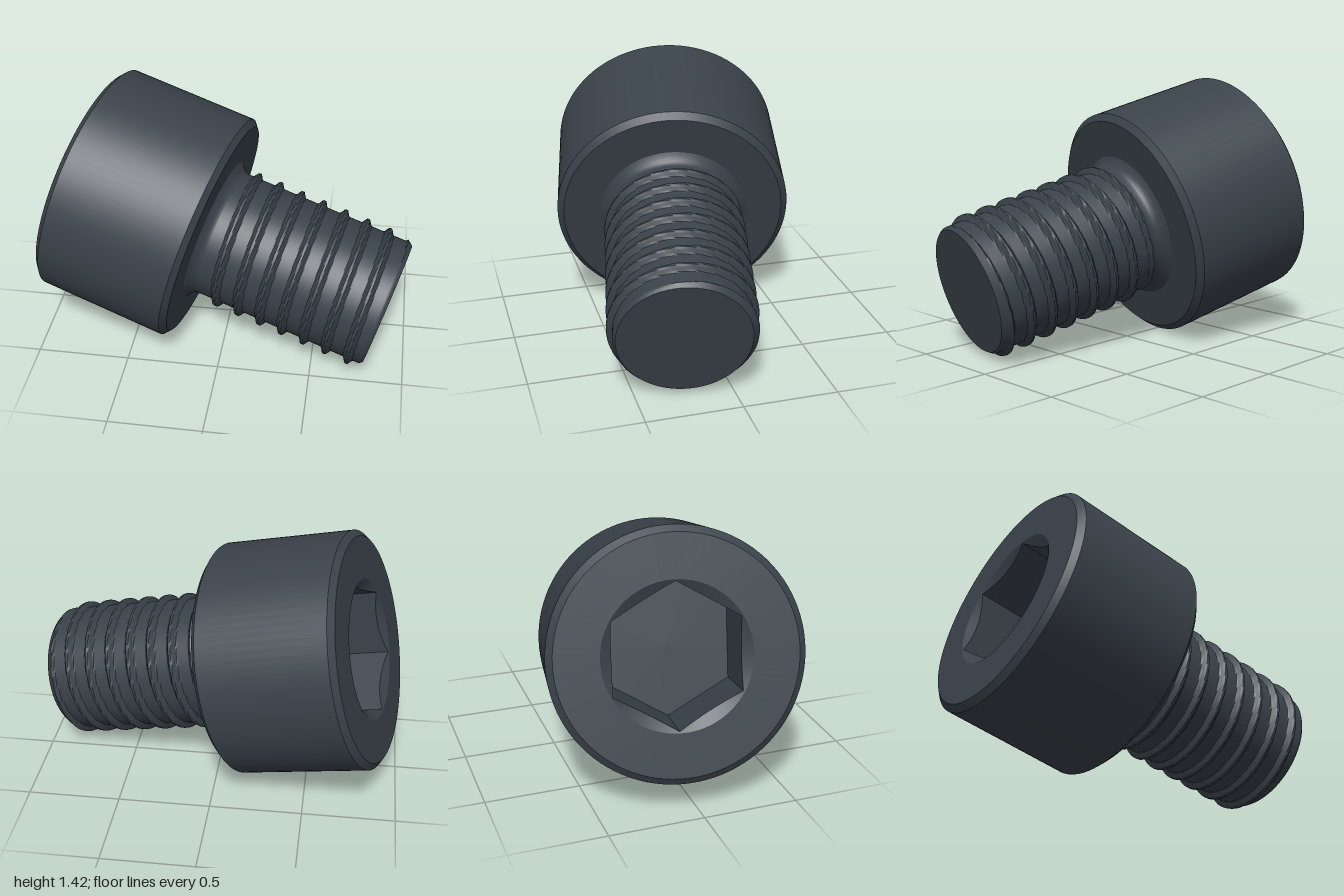
import * as THREE from 'three';
import { toCreasedNormals } from 'three/addons/utils/BufferGeometryUtils.js';

const HEAD_R = 0.64, HEAD_H = 0.768, CHAMFER_R = 0.605, CHAMFER_H = 0.03;
const SHANK_L = 1.024, PITCH = 0.128, CREST = 0.382, ROOT = 0.308, TIP_R = 0.338;
const SOCKET_R = 0.377, SOCKET_AP = 0.32, SOCKET_D = 0.38;
const SIDES = 96;
const { clamp, lerp, smoothstep } = THREE.MathUtils;

// Surface along the x axis from rings; ring(i, angle) gives [x, radius].
function loft(count, ring, inward = false) {
  const pos = [], index = [];
  for (let i = 0; i < count; i++) {
    for (let j = 0; j <= SIDES; j++) {
      const a = (j % SIDES) / SIDES * Math.PI * 2;
      const [x, r] = ring(i, a);
      pos.push(x, r * Math.cos(a), r * Math.sin(a));
      if (i === count - 1 || j === SIDES) continue;
      const p = i * (SIDES + 1) + j, q = p + 1, s = p + SIDES + 1, t = s + 1;
      if (inward) index.push(p, s, q, q, s, t);
      else index.push(p, q, s, q, t, s);
    }
  }
  const geo = new THREE.BufferGeometry();
  geo.setAttribute('position', new THREE.Float32BufferAttribute(pos, 3));
  geo.setIndex(index);
  return geo;
}

// Right-hand helical thread with a fillet under the head and a chamfered tip.
function shankRadius(x, a) {
  const turn = x / PITCH - a / (Math.PI * 2);
  const t = Math.abs(turn - Math.round(turn));
  let r = lerp(ROOT, CREST, clamp((0.42 - t) / 0.36, 0, 1));
  r = lerp(0.352, r, smoothstep(x, 0.05, 0.13));
  const f = clamp(1 - x / 0.06, 0, 1);
  r = Math.max(r, 0.352 + 0.05 * f * f);
  r = lerp(r, Math.max(r, TIP_R), smoothstep(x, SHANK_L - 0.06, SHANK_L));
  return Math.min(r, TIP_R + (SHANK_L - x) * 0.8);
}

// Hexagon radius at an angle, with a corner at angle 0.
function hexRadius(a) {
  const sector = Math.PI / 3;
  return SOCKET_AP / Math.cos((a % sector) - sector / 2);
}

export function createModel() {
  const steel = new THREE.MeshStandardMaterial({ color: 0x3a424a });
  steel.name = 'darkSteel';

  const model = new THREE.Group();
  model.name = 'socketScrew';
  const add = (name, geo, crease) => {
    const mesh = new THREE.Mesh(toCreasedNormals(geo, crease), steel);
    mesh.name = name;
    model.add(mesh);
  };

  // Cylindrical head with chamfered rims
  const profile = [
    [SOCKET_R, -HEAD_H], [CHAMFER_R, -HEAD_H], [HEAD_R, -HEAD_H + CHAMFER_H],
    [HEAD_R, -CHAMFER_H], [CHAMFER_R, 0], [0.35, 0],
  ].map(([r, y]) => new THREE.Vector2(r, y));
  add('head', new THREE.LatheGeometry(profile, SIDES).rotateZ(-Math.PI / 2), 0.4);

  // Hex socket with a conical lead-in and a flat floor
  add('hexSocket', loft(4, (i, a) => {
    const h = hexRadius(a);
    if (i === 0) return [-HEAD_H, SOCKET_R];
    if (i === 1) return [-HEAD_H + (SOCKET_R - h) * 0.577, h];
    return [-HEAD_H + SOCKET_D, i === 2 ? h : 0];
  }, true), 0.4);

  // Threaded shank
  const rows = 193;
  add('threadedShank', loft(rows, (i, a) => {
    const x = SHANK_L * i / (rows - 1);
    return [x, shankRadius(x, a)];
  }), 0.6);

  // Flat tip
  add('tip', new THREE.CircleGeometry(TIP_R, SIDES).rotateY(Math.PI / 2).translate(SHANK_L, 0, 0), 0.4);

  // Tilt the screw so it points right, downwards and slightly forwards
  const axis = new THREE.Vector3(1, -0.262, 0.207).normalize();
  const up = new THREE.Vector3(0, 1, 0).addScaledVector(axis, -axis.y).normalize();
  const side = new THREE.Vector3().crossVectors(axis, up);
  model.quaternion.setFromRotationMatrix(new THREE.Matrix4().makeBasis(axis, up, side));
  model.position.set(-0.082, 0.617, 0.07);
  return model;
}
